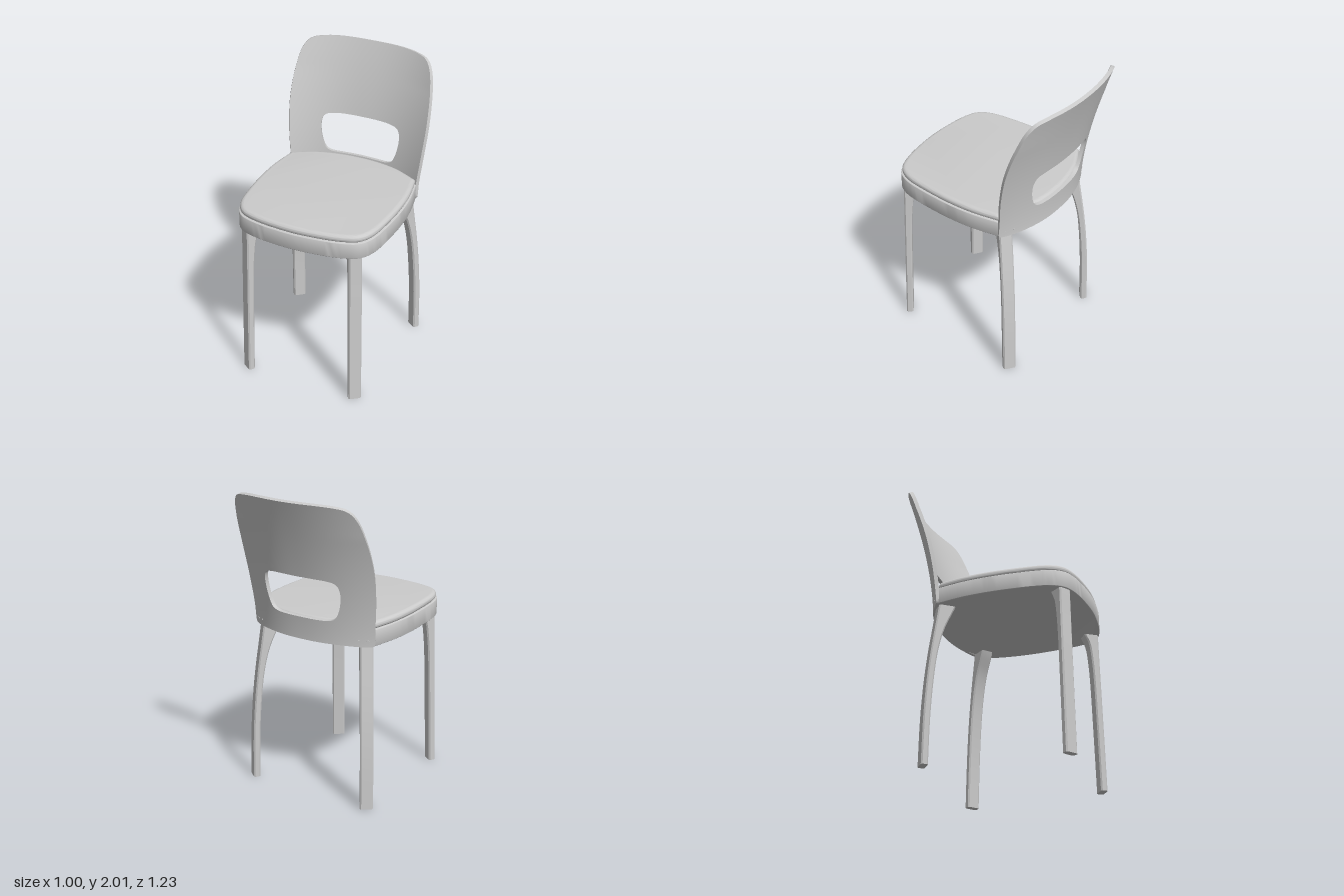
import * as THREE from 'three';
import { toCreasedNormals } from 'three/addons/utils/BufferGeometryUtils.js';

const material = new THREE.MeshStandardMaterial({ color: 0xcccccc });
const shellMaterial = new THREE.MeshStandardMaterial({ color: 0xcccccc });

function addMesh(parent, name, geometry, mat = material) {
  const mesh = new THREE.Mesh(geometry, mat);
  mesh.name = name;
  parent.add(mesh);
  return mesh;
}

// Skin a list of closed rings of points; optionally join last ring to first
function skin(rings, joinEnds) {
  const n = rings[0].length, m = rings.length, index = [];
  for (let i = 0; i < (joinEnds ? m : m - 1); i++) {
    for (let j = 0; j < n; j++) {
      const k = (j + 1) % n, r = (i + 1) % m;
      const a = i * n + j, b = i * n + k, c = r * n + j, d = r * n + k;
      index.push(a, b, c, b, d, c);
    }
  }
  if (!joinEnds) {
    const top = (m - 1) * n;
    for (let j = 1; j < n - 1; j++) index.push(0, j + 1, j, top, top + j, top + j + 1);
  }
  const g = new THREE.BufferGeometry().setFromPoints(rings.flat());
  g.setIndex(index);
  return toCreasedNormals(g, 0.6);
}

// Seat plan: rounded front and sides, sharp rear corners, gently curved back
function seatShape(s) {
  const half = [[0.49, -0.1], [0.498, 0.1], [0.482, 0.33], [0.458, 0.45],
    [0.41, 0.528], [0.33, 0.568], [0.2, 0.595]];
  const v = (x, z) => new THREE.Vector2(x * s, -z * s);
  const shape = new THREE.Shape();
  shape.moveTo(0.457 * s, 0.285 * s);
  shape.splineThru([
    ...half.map(([x, z]) => v(x, z)), v(0, 0.61),
    ...half.slice().reverse().map(([x, z]) => v(-x, z)), v(-0.457, -0.285)]);
  shape.splineThru([v(-0.3, -0.367), v(-0.15, -0.405), v(0, -0.416),
    v(0.15, -0.405), v(0.3, -0.367), v(0.457, -0.285)]);
  return shape;
}

// Horizontal slab from the seat plan, sloping down slightly to the rear
function seatSlab(scale, bottom, top, bevel) {
  const g = new THREE.ExtrudeGeometry(seatShape(scale), {
    depth: top - bottom - 2 * bevel, curveSegments: 5, bevelEnabled: true,
    bevelSize: bevel * 1.2, bevelOffset: -bevel * 1.2, bevelThickness: bevel, bevelSegments: 6,
  });
  g.rotateX(-Math.PI / 2).translate(0, bottom + bevel, 0);
  const p = g.attributes.position;
  for (let i = 0; i < p.count; i++) p.setY(i, p.getY(i) + (p.getZ(i) - 0.6) * 0.012);
  return toCreasedNormals(g, 0.7);
}

// Middle surface of the backrest: leans back and wraps forward at the sides
function backZ(x, y) {
  const h = Math.max(0, y - 1.08);
  const wrap = THREE.MathUtils.lerp(0.78, 0.55, Math.min(1, h / 0.72));
  return -0.418 - 0.187 * Math.pow(h / 0.92, 1.7) + wrap * Math.pow(Math.abs(x), 2.3);
}

function backNormal(x, y) {
  const e = 0.002;
  return new THREE.Vector3(
    -(backZ(x + e, y) - backZ(x - e, y)) / (2 * e),
    -(backZ(x, y + e) - backZ(x, y - e)) / (2 * e), 1).normalize();
}

const onBack = (x, y, offset) =>
  new THREE.Vector3(x, y, backZ(x, y)).addScaledVector(backNormal(x, y), offset);

// Closed outline from its right half, bottom centre to top centre
function symmetricLoop(half) {
  const left = half.slice(1, -1).reverse().map(([x, y]) => [-x, y]);
  return new THREE.CatmullRomCurve3(
    [...half, ...left].map(([x, y]) => new THREE.Vector3(x, y, 0)), true);
}

function backrestGeometry() {
  const outer = symmetricLoop([[0, 1.08], [0.25, 1.08], [0.45, 1.08], [0.457, 1.09],
    [0.463, 1.2], [0.482, 1.4], [0.493, 1.6], [0.48, 1.8], [0.45, 1.925],
    [0.41, 1.975], [0.33, 1.995], [0, 2]]);
  const hole = symmetricLoop([[0, 1.23], [0.13, 1.23], [0.2, 1.235], [0.235, 1.25],
    [0.255, 1.28], [0.275, 1.34], [0.285, 1.42], [0.275, 1.47], [0.255, 1.49],
    [0.2, 1.502], [0.12, 1.505], [0, 1.505]]);
  const around = 132, across = 14, t = 0.0125, rings = [];
  for (let i = 0; i < around; i++) {
    const a = hole.getPoint(i / around), b = outer.getPoint(i / around);
    const front = [], rear = [];
    for (let j = 0; j <= across; j++) {
      const p = a.clone().lerp(b, j / across);
      front.push(onBack(p.x, p.y, t));
      rear.unshift(onBack(p.x, p.y, -t));
    }
    rings.push([...front, ...rear]);
  }
  return skin(rings, true);
}

// Leg: chamfered bar facing diagonally outward, swelling inward at the top.
// Each level is [y, x and z of the outer face's middle, depth].
function legGeometry(levels, ox, oz, side) {
  const path = new THREE.CatmullRomCurve3(
    levels.map(([y, x, z]) => new THREE.Vector3(x * side, y, z)), false, 'catmullrom', 0.5);
  const depth = new THREE.SplineCurve(levels.map(l => new THREE.Vector2(l[0], l[3])));
  const out = new THREE.Vector3(ox * side, 0, oz).normalize();
  const along = new THREE.Vector3(out.z, 0, -out.x);
  const w = 0.0425, c = 0.009, rings = [], steps = 24;
  for (let i = 0; i <= steps; i++) {
    const p = path.getPoint(i / steps), d = depth.getPoint(i / steps).y;
    rings.push([[-w + c, 0], [w - c, 0], [w, -c], [w, c - d], [w - c, -d],
      [c - w, -d], [-w, c - d], [-w, -c]].map(([a, b]) =>
      p.clone().addScaledVector(along, a).addScaledVector(out, b)));
  }
  return skin(rings, false);
}

export function createModel() {
  const chair = new THREE.Group();
  chair.name = 'chair';

  // Seat
  addMesh(chair, 'seatFrame', seatSlab(1, 1.09, 1.2, 0.004));
  addMesh(chair, 'seatCushion', seatSlab(0.988, 1.195, 1.246, 0.023));

  // Backrest with hand hole
  addMesh(chair, 'backrest', backrestGeometry(), shellMaterial);

  // Legs and the screws that fix the backrest
  const frontLevels = [[0, 0.4, 0.556, 0.045], [0.4, 0.395, 0.547, 0.046],
    [0.75, 0.39, 0.539, 0.048], [0.92, 0.387, 0.535, 0.055],
    [1.02, 0.386, 0.533, 0.068], [1.1, 0.385, 0.531, 0.1]];
  const backLevels = [[0, 0.462, -0.384, 0.045], [0.3, 0.46, -0.378, 0.045],
    [0.55, 0.45, -0.366, 0.045], [0.75, 0.437, -0.349, 0.047],
    [0.92, 0.422, -0.33, 0.064], [1.1, 0.407, -0.308, 0.112]];
  for (const [label, side] of [['left', 1], ['right', -1]]) {
    addMesh(chair, label + 'FrontLeg', legGeometry(frontLevels, 0.58, 0.81, side));
    addMesh(chair, label + 'BackLeg', legGeometry(backLevels, 0.62, -0.78, side));
    for (const x of [0.37, 0.42]) {
      const screw = addMesh(chair, label + 'Screw', new THREE.CylinderGeometry(0.009, 0.009, 0.008, 16));
      screw.position.copy(onBack(x * side, 1.115, -0.011));
      screw.quaternion.setFromUnitVectors(new THREE.Vector3(0, 1, 0), backNormal(x * side, 1.115));
    }
  }
  return chair;
}
